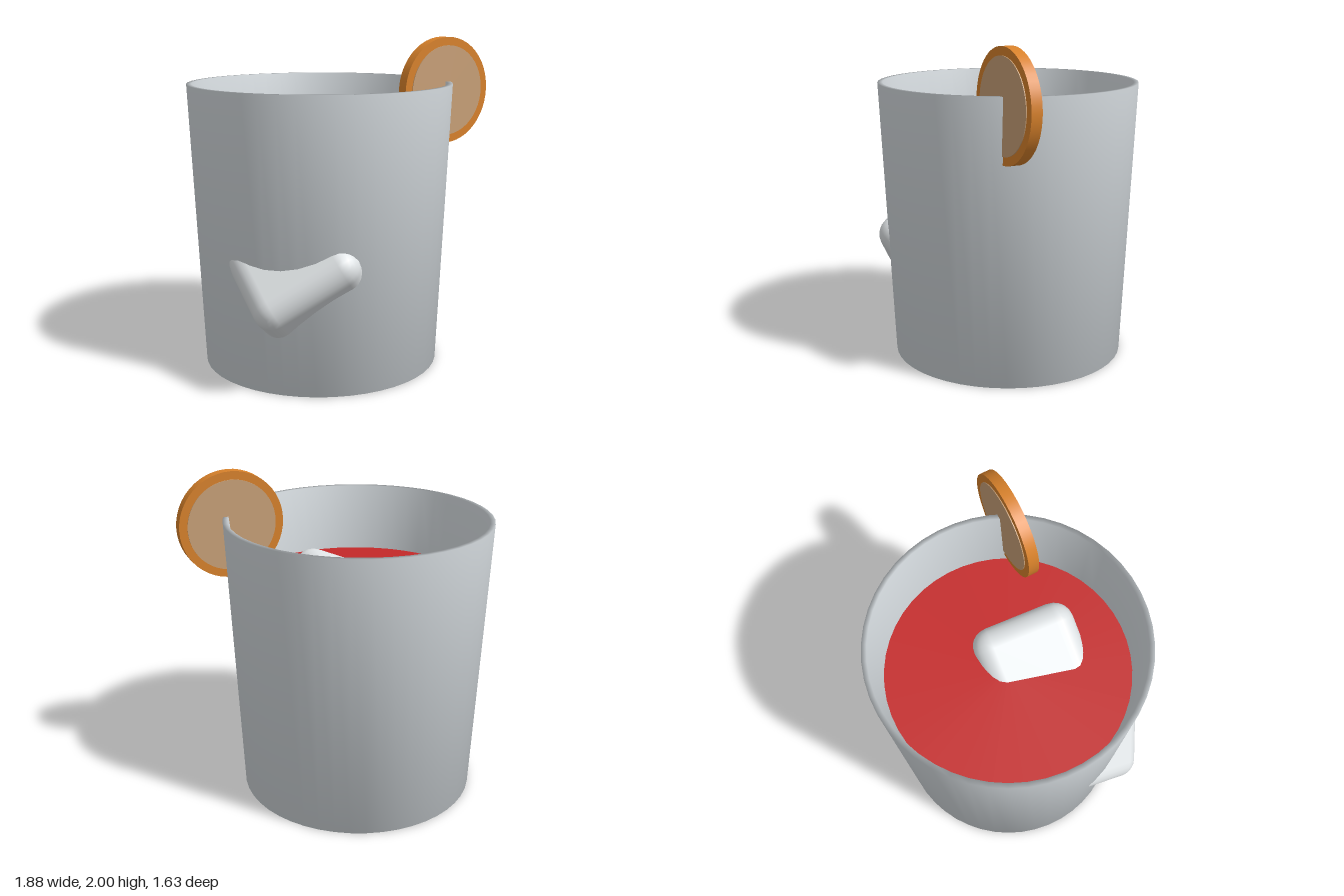
import * as THREE from 'three';
import { RoundedBoxGeometry } from 'three/addons/geometries/RoundedBoxGeometry.js';

const material = (name, color) => {
  const m = new THREE.MeshStandardMaterial({ color });
  m.name = name;
  return m;
};

function part(name, geometry, mat, parent) {
  const mesh = new THREE.Mesh(geometry, mat);
  mesh.name = name;
  parent.add(mesh);
  return mesh;
}

export function createModel() {
  const model = new THREE.Group();
  model.name = 'drink';
  const glassMat = material('pale glass', 0xd6dce0);
  const iceMat = material('ice white', 0xdfe3e5);
  const liquidMat = material('red liquid', 0xc42828);
  const rindMat = material('orange rind', 0xd9822b);
  const fleshMat = material('pale orange flesh', 0xc9a178);

  // Tumbler and liquid share one centre line
  const tumbler = new THREE.Group();
  tumbler.name = 'tumbler';
  tumbler.position.set(-0.135, 0, -0.008);
  model.add(tumbler);

  // Closed wall profile: base, outside, rim, inside, floor
  const profile = [
    [0, 0], [0.73, 0], [0.805, 1.73], [0.775, 1.73],
    [0.732, 1.31], [0.69, 0.06], [0, 0.06],
  ].map(([x, y]) => new THREE.Vector2(x, y));
  part('glass', new THREE.LatheGeometry(profile, 48), glassMat, tumbler);

  // Liquid
  const liquid = part('liquid', new THREE.CylinderGeometry(0.733, 0.68, 1.23, 48), liquidMat, tumbler);
  liquid.position.y = 0.695;

  // Ice cubes, oriented by their own x and y axes
  function iceCube(name, size, position, xAxis, yAxis, tilt) {
    const cube = part(name, new RoundedBoxGeometry(size, size, size, 3, 0.12), iceMat, model);
    const zAxis = xAxis.clone().cross(yAxis).normalize();
    const up = zAxis.clone().cross(xAxis);
    cube.quaternion.setFromRotationMatrix(new THREE.Matrix4().makeBasis(xAxis, up, zAxis));
    cube.rotateX(tilt);
    cube.position.set(...position);
  }

  // Floating cube leaning to one side at the surface
  const lean = THREE.MathUtils.degToRad(23);
  const across = new THREE.Vector3(0.917, 0, -0.4).normalize();
  const vertical = new THREE.Vector3(0, 1, 0);
  iceCube(
    'floatingIce', 0.64, [0, 1.038, 0.141],
    across.clone().multiplyScalar(Math.cos(lean)).addScaledVector(vertical, Math.sin(lean)),
    across.clone().multiplyScalar(-Math.sin(lean)).addScaledVector(vertical, Math.cos(lean)),
    -0.08,
  );

  // Lower cube whose rounded edge pushes through the front wall
  iceCube(
    'frontIce', 0.68, [-0.28, 0.64, 0.385],
    new THREE.Vector3(0.86, 0.51, 0).normalize(),
    new THREE.Vector3(-0.51, 0.86, 0).normalize(),
    Math.PI / 4,
  );

  // Citrus slice straddling the rim: rind disc with slightly raised flesh faces
  const slice = new THREE.Group();
  slice.name = 'citrusSlice';
  slice.position.set(0.635, 1.675, -0.01);
  slice.rotation.y = Math.atan2(0.465, 0.885);
  model.add(slice);
  const rind = part('rind', new THREE.CylinderGeometry(0.325, 0.325, 0.066, 48), rindMat, slice);
  rind.rotation.x = Math.PI / 2;
  for (const side of [1, -1]) {
    const flesh = part(side > 0 ? 'frontFlesh' : 'backFlesh',
      new THREE.CylinderGeometry(0.275, 0.275, 0.008, 48), fleshMat, slice);
    flesh.rotation.x = Math.PI / 2;
    flesh.position.z = side * 0.034;
  }

  return model;
}
